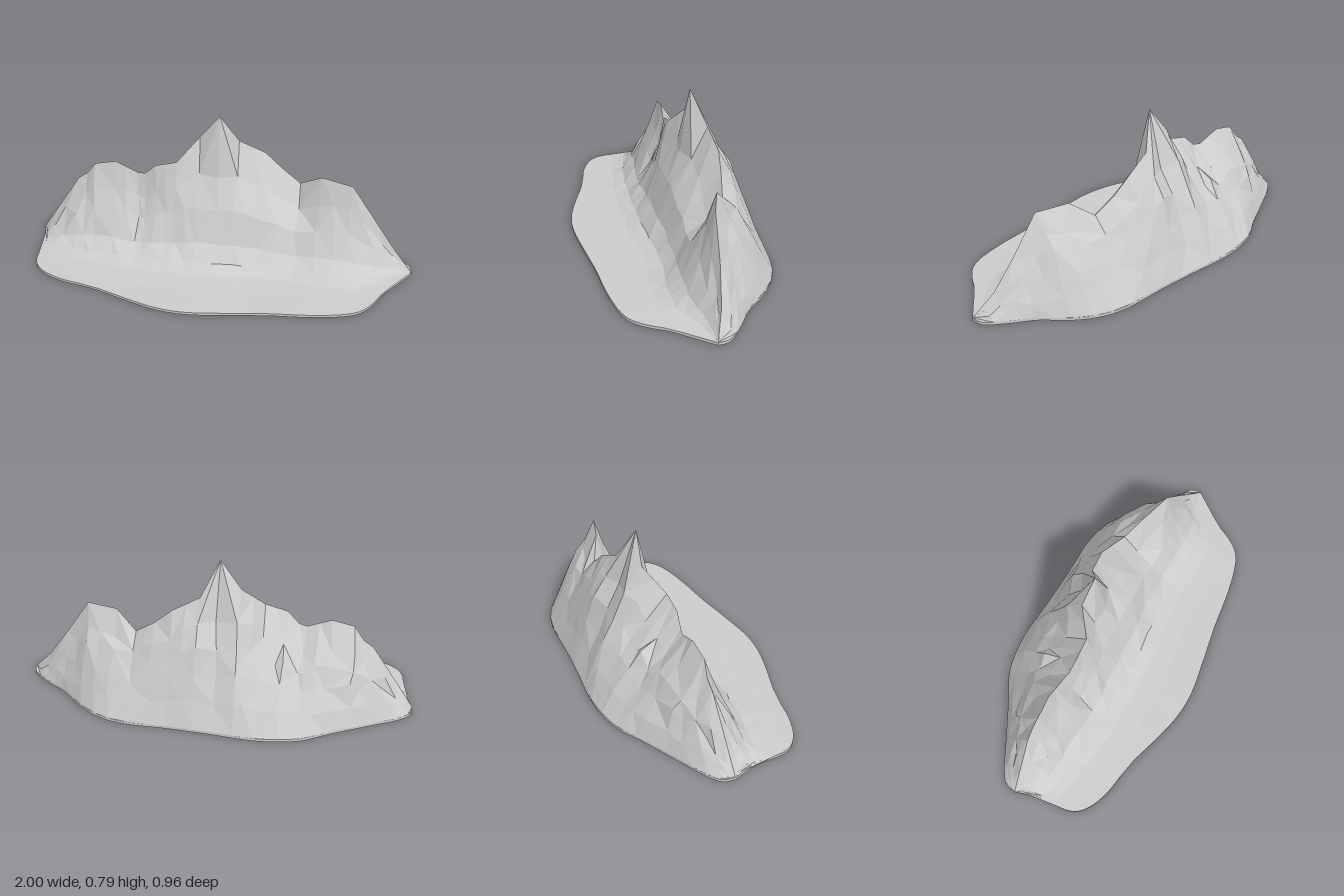
import * as THREE from 'three';

const BASE = 0.015;
const { lerp } = THREE.MathUtils;

// Ground outline, front and back edges as [x, z]
const FRONT = [[-1, -0.1], [-0.965, 0.03], [-0.955, 0.19], [-0.9, 0.27], [-0.78, 0.325], [-0.6, 0.36], [-0.4, 0.425],
  [-0.25, 0.465], [-0.1, 0.475], [0.1, 0.45], [0.3, 0.42], [0.5, 0.4], [0.66, 0.37], [0.75, 0.33], [0.81, 0.26],
  [0.86, 0.17], [0.93, 0.08], [1, -0.01]];
const BACK = [[-1, -0.1], [-0.985, -0.16], [-0.92, -0.21], [-0.8, -0.27], [-0.6, -0.37], [-0.45, -0.45], [-0.25, -0.48],
  [0, -0.46], [0.2, -0.447], [0.42, -0.44], [0.56, -0.4], [0.68, -0.32], [0.78, -0.22], [0.9, -0.14], [0.985, -0.07], [1, -0.01]];

// Crest line as [x, y, z]
const CREST = [[-1, 0.016, -0.1], [-0.78, 0.355, -0.11], [-0.73, 0.39, -0.11], [-0.68, 0.46, -0.1], [-0.57, 0.485, -0.1],
  [-0.45, 0.435, -0.09], [-0.41, 0.44, -0.08], [-0.35, 0.5, -0.07], [-0.24, 0.53, -0.07], [-0.13, 0.645, -0.15],
  [-0.025, 0.785, -0.13], [0.065, 0.61, -0.2], [0.2, 0.54, -0.22], [0.29, 0.46, -0.21], [0.39, 0.39, -0.19],
  [0.5, 0.475, -0.13], [0.66, 0.47, -0.08], [0.79, 0.28, -0.07], [0.9, 0.125, -0.05], [1, 0.016, -0.01]];
const EXTRA_X = [-0.98, -0.955, -0.91, -0.85, -0.51, -0.3, -0.185, 0.13, 0.58, 0.725, 0.845, 0.95];

// Slope profiles: [fraction of run, fraction of height]
const FRONT_SLOPE = [[0.26, 0.47], [0.5, 0.19], [0.74, 0.06], [1, 0.018], [1.4, 0.004]];
const BACK_SLOPE = [[0.27, 0.78], [0.47, 0.61], [0.64, 0.43], [0.82, 0.22]];

let seed = 7;
function jitter(amount) {
  seed = (seed * 16807) % 2147483647;
  return (seed / 2147483647 - 0.5) * 2 * amount;
}

const smooth = (pts) => new THREE.SplineCurve(pts.map(([x, z]) => new THREE.Vector2(x, z))).getPoints(90);

// Linear lookup of one coordinate along a list sorted by x
function lookup(list, x, k) {
  for (let i = 1; i < list.length; i++) {
    const a = list[i - 1], b = list[i];
    if (x <= b[0]) return lerp(a[k], b[k], (x - a[0]) / (b[0] - a[0] || 1));
  }
  return list[list.length - 1][k];
}

function mountainGeometry(front, back) {
  const f = front.map((p) => [p.x, p.y]), b = back.map((p) => [p.x, p.y]);
  const xs = [...CREST.map((c) => c[0]), ...EXTRA_X].sort((p, q) => p - q);
  const columns = xs.map((x) => {
    const zf = lookup(f, x, 1), zb = lookup(b, x, 1), zc = lookup(CREST, x, 2), yc = lookup(CREST, x, 1);
    const rise = Math.min(yc, 0.62) - BASE;
    const foot = Math.min(0.2, lerp(zc, zf, 0.6));
    const wall = Math.min(foot, Math.max(zc, -0.08)); // where the steep front face begins
    const brow = lerp(zc, lerp(wall, foot, FRONT_SLOPE[0][0]), 0.45);
    const wobble = Math.min(0.012, (1 - Math.abs(x)) * 0.05);
    const point = (z, h, rough) => [x + jitter(wobble), BASE + rise * h * (1 + jitter(rough)), z + jitter(wobble * rough * 10)];
    return [
      [x, BASE, zb],
      ...BACK_SLOPE.map(([t, h]) => point(lerp(zc, zb, t), h, 0.08)).reverse(),
      [x, yc, zc],
      point(brow, 0.72, 0.04),
      ...FRONT_SLOPE.map(([t, h]) => point(lerp(wall, foot, t), h, 0.06)),
      [x, BASE, zf],
    ];
  });
  const rows = columns[0].length;
  const index = [];
  for (let i = 0; i < columns.length - 1; i++) {
    for (let j = 0; j < rows - 1; j++) {
      const p = i * rows + j, q = p + rows;
      // alternate the diagonals for a rocky facet pattern
      if ((i + j) % 2) index.push(p, p + 1, q, q, p + 1, q + 1);
      else index.push(p, p + 1, q + 1, p, q + 1, q);
    }
  }
  const geo = new THREE.BufferGeometry();
  geo.setAttribute('position', new THREE.Float32BufferAttribute(columns.flat(2), 3));
  geo.setIndex(index);
  const faceted = geo.toNonIndexed();
  faceted.computeVertexNormals();
  return faceted;
}

export function createModel() {
  const group = new THREE.Group();
  group.name = 'mountain';
  const rock = new THREE.MeshStandardMaterial({ color: 0xcccccc, flatShading: true, side: THREE.DoubleSide });
  rock.name = 'rock grey';

  const front = smooth(FRONT), back = smooth(BACK);

  // Thin ground slab
  const outline = [...front, ...back.slice(1, -1).reverse()].map((p) => new THREE.Vector2(p.x, -p.y));
  const slab = new THREE.ExtrudeGeometry(new THREE.Shape(outline), { depth: BASE, bevelEnabled: false });
  slab.rotateX(-Math.PI / 2);
  const base = new THREE.Mesh(slab, rock);
  base.name = 'base';

  // Faceted ridge with a steep front and a broad back
  const ridge = new THREE.Mesh(mountainGeometry(front, back), rock);
  ridge.name = 'ridge';

  group.add(base, ridge);
  return group;
}
